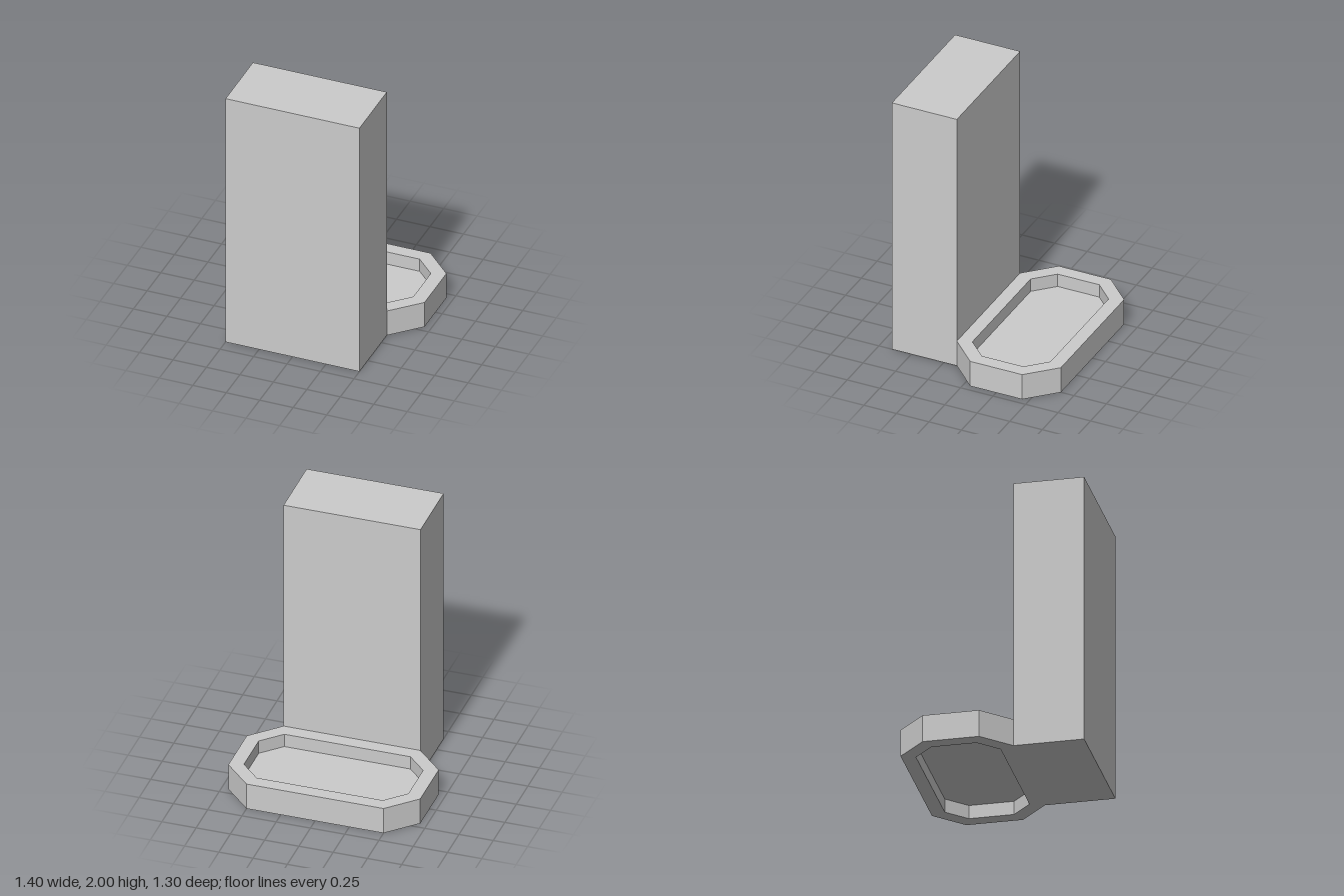
import * as THREE from 'three';

const material = new THREE.MeshStandardMaterial({ color: 0xcccccc, flatShading: true });
const sheetMaterial = new THREE.MeshStandardMaterial({ color: 0xcccccc, side: THREE.DoubleSide });

// Corners of a rectangle with its corners cut off
function chamferedRect(halfW, halfD, cut) {
  const w = halfW - cut, d = halfD - cut;
  return [
    [halfW, -d], [halfW, d], [w, halfD], [-w, halfD],
    [-halfW, d], [-halfW, -d], [-w, -halfD], [w, -halfD],
  ].map(([x, y]) => new THREE.Vector2(x, y));
}

export function createModel() {
  const model = new THREE.Group();

  const add = (name, geometry, mat, y, z) => {
    const mesh = new THREE.Mesh(geometry, mat);
    mesh.name = name;
    mesh.position.set(0, y, z);
    model.add(mesh);
  };

  // Tall upright block at the front
  add('uprightBlock', new THREE.BoxGeometry(1, 2, 0.5), material, 1, 0.4);

  // Octagonal rim standing on the ground behind the block
  const inner = chamferedRect(0.6, 0.3, 0.14);
  const rimShape = new THREE.Shape(chamferedRect(0.7, 0.4, 0.2));
  rimShape.holes.push(new THREE.Path(inner));
  const rim = new THREE.ExtrudeGeometry(rimShape, { depth: 0.2, bevelEnabled: false });
  add('trayRim', rim.rotateX(-Math.PI / 2), material, 0, -0.25);

  // Thin floor halfway up the rim, recessed from above and below
  const floor = new THREE.ShapeGeometry(new THREE.Shape(inner));
  add('trayFloor', floor.rotateX(-Math.PI / 2), sheetMaterial, 0.1, -0.25);

  return model;
}
